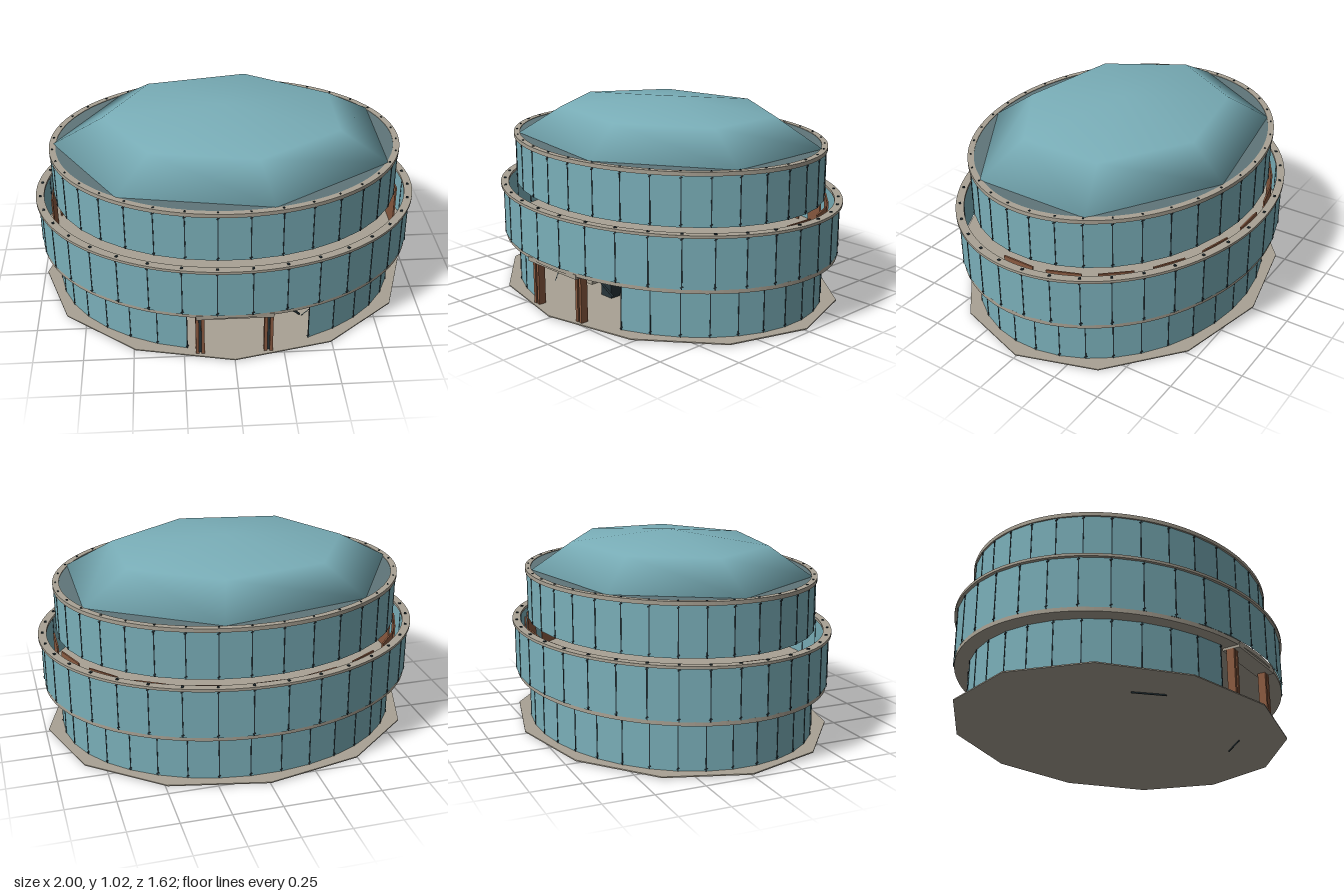
import * as THREE from 'three';

const mat = (name, color, side = THREE.FrontSide) => {
  const m = new THREE.MeshStandardMaterial({ color, side });
  m.name = name;
  return m;
};

export function createModel() {
  const group = new THREE.Group();
  const glass = mat('teal glass', 0x7aafb9);
  const glassTwoSided = mat('teal glass', 0x7aafb9, THREE.DoubleSide);
  const roofDeckMat = mat('dark teal deck', 0x5f7579);
  const stone = mat('warm grey stone', 0xa9a294);
  const wood = mat('brown wood', 0x8a5a40);
  const dark = mat('dark metal', 0x26343a);
  const slate = mat('slate', 0x56666c);
  const deg = Math.PI / 180;

  const add = (name, geo, material, x = 0, y = 0, z = 0, parent = group) => {
    const m = new THREE.Mesh(geo, material);
    m.name = name;
    m.position.set(x, y, z);
    parent.add(m);
    return m;
  };
  const box = (name, w, h, d, material, x, y, z, parent) =>
    add(name, new THREE.BoxGeometry(w, h, d), material, x, y, z, parent);

  // Flat oval slab or ring with its bottom at y0
  const oval = (name, rx, rz, y0, y1, material, ix = 0, iz = 0) => {
    const s = new THREE.Shape().absellipse(0, 0, rx, rz, 0, Math.PI * 2);
    if (ix) s.holes.push(new THREE.Path().absellipse(0, 0, ix, iz, 0, Math.PI * 2, true));
    const geo = new THREE.ExtrudeGeometry(s, { depth: y1 - y0, bevelEnabled: false, curveSegments: 72 });
    geo.rotateX(-Math.PI / 2);
    return add(name, geo, material, 0, y0, 0);
  };

  // Faceted oval wall of 10 degree panels with dark joints and corner fixings
  const wall = (name, rx, rz, y0, y1, start, panels, material) => {
    const tier = new THREE.Group();
    tier.name = name;
    group.add(tier);
    const h = y1 - y0;
    let geo = new THREE.CylinderGeometry(1, 1, h, panels, 1, true, start * deg, panels * 10 * deg);
    geo = geo.toNonIndexed();
    geo.scale(rx, 1, rz);
    geo.computeVertexNormals();
    add(name + 'Glass', geo, material, 0, (y0 + y1) / 2, 0, tier);
    const joints = panels === 36 ? 36 : panels + 1;
    for (let i = 0; i < joints; i++) {
      const a = (start + i * 10) * deg;
      const x = rx * Math.sin(a), z = rz * Math.cos(a);
      const turn = Math.atan2(Math.sin(a) / rx, Math.cos(a) / rz);
      box('panelJoint', 0.005, h, 0.004, dark, x, (y0 + y1) / 2, z, tier).rotation.y = turn;
      for (const y of [y0 + 0.012, y1 - 0.012])
        box('panelFixing', 0.014, 0.006, 0.008, dark, x, y, z, tier).rotation.set(0, turn, 0.6);
    }
  };

  // Twelve-sided ground slab
  const ground = new THREE.CylinderGeometry(1, 1, 0.006, 12).toNonIndexed();
  ground.scale(0.985, 1, 0.805);
  ground.computeVertexNormals();
  add('groundSlab', ground, stone, 0, 0.01, 0);
  for (const s of [-1, 1])
    box('groundFin', 0.17, 0.014, 0.004, dark, s * 0.43, 0.007, 0.42).rotation.y = s * 45 * deg;

  // Three glazed tiers, the lowest open at the entrance
  wall('lowerWall', 0.903, 0.727, 0.012, 0.262, 25, 32, glass);
  wall('middleWall', 0.985, 0.797, 0.28, 0.535, 5, 36, glassTwoSided);
  wall('upperWall', 0.903, 0.727, 0.555, 0.803, 5, 36, glass);

  // Floor and trim rings
  oval('middleFloor', 0.982, 0.79, 0.26, 0.282, stone);
  oval('middleRim', 1.0, 0.808, 0.532, 0.546, stone, 0.957, 0.767);
  oval('upperRim', 0.908, 0.735, 0.8, 0.82, stone, 0.875, 0.705);
  for (let i = 0; i < 36; i++) {
    const a = (5 + i * 10) * deg;
    box('rimBolt', 0.012, 0.008, 0.012, dark, 0.977 * Math.sin(a), 0.547, 0.788 * Math.cos(a)).rotation.y = a;
    box('upperRimBolt', 0.008, 0.006, 0.008, dark, 0.892 * Math.sin(a), 0.821, 0.72 * Math.cos(a)).rotation.y = a;
  }

  // Wooden screens standing in the gallery around the back
  for (let i = 0; i < 11; i++) {
    const a = (90 + i * 18) * deg;
    const x = 0.913 * Math.sin(a), z = 0.742 * Math.cos(a);
    const turn = Math.atan2(Math.sin(a) / 0.913, Math.cos(a) / 0.742);
    box('galleryScreen', 0.17, 0.25, 0.008, wood, x, 0.407, z).rotation.y = turn;
  }

  // Roof deck and seven-sided dome
  oval('roofDeck', 0.88, 0.709, 0.806, 0.817, roofDeckMat);
  const dome = new THREE.SphereGeometry(1, 7, 2, 0, Math.PI * 2, 0, Math.PI / 2);
  dome.scale(0.888, 0.202, 0.705);
  add('roofDome', dome, glass, 0, 0.819, 0);

  // Entrance canopy and posts
  box('entranceCanopy', 0.38, 0.024, 0.09, stone, 0, 0.259, 0.735);
  for (const s of [-1, 1]) {
    for (const dx of [-0.014, 0.014])
      box('entrancePost', 0.016, 0.236, 0.04, wood, s * 0.17 + dx, 0.13, 0.73);
    box('entrancePostCore', 0.014, 0.236, 0.016, dark, s * 0.17, 0.13, 0.73);
  }

  // Dark braces between two points
  const brace = (x0, y0, z0, x1, y1, z1) => {
    const p = new THREE.Vector3(x0, y0, z0), q = new THREE.Vector3(x1, y1, z1);
    const m = add('brace', new THREE.CylinderGeometry(0.006, 0.006, p.distanceTo(q), 6), dark);
    m.position.copy(p).add(q).multiplyScalar(0.5);
    m.quaternion.setFromUnitVectors(new THREE.Vector3(0, 1, 0), q.sub(p).normalize());
  };
  brace(0.33, 0.17, 0.665, 0.25, 0.26, 0.7);
  for (const [a, b] of [[-0.17, 0], [0, 0.17], [0.22, 0.38]]) {
    brace(a, 0.02, 0.1, b, 0.25, 0.1);
    brace(a, 0.25, 0.1, b, 0.02, 0.1);
  }

  // Shelving, desk and globe inside
  for (const y of [0.05, 0.08, 0.115, 0.15])
    box('shelf', 0.3, 0.006, 0.06, wood, 0.2, y, 0.2);
  for (const x of [-0.08, 0.08, 0.13, 0.25, 0.34])
    box('shelfPost', 0.012, 0.235, 0.02, wood, x, 0.13, 0.17);
  box('desk', 0.08, 0.07, 0.06, dark, 0, 0.048, 0.4);
  box('deskTop', 0.08, 0.055, 0.05, slate, 0, 0.11, 0.4);
  add('globe', new THREE.SphereGeometry(0.055, 20, 14), slate, -0.175, 0.2, 0.35);
  box('globePlinth', 0.05, 0.04, 0.05, stone, -0.21, 0.033, 0.35);
  box('globeStand', 0.012, 0.11, 0.012, wood, -0.175, 0.1, 0.35);

  return group;
}
